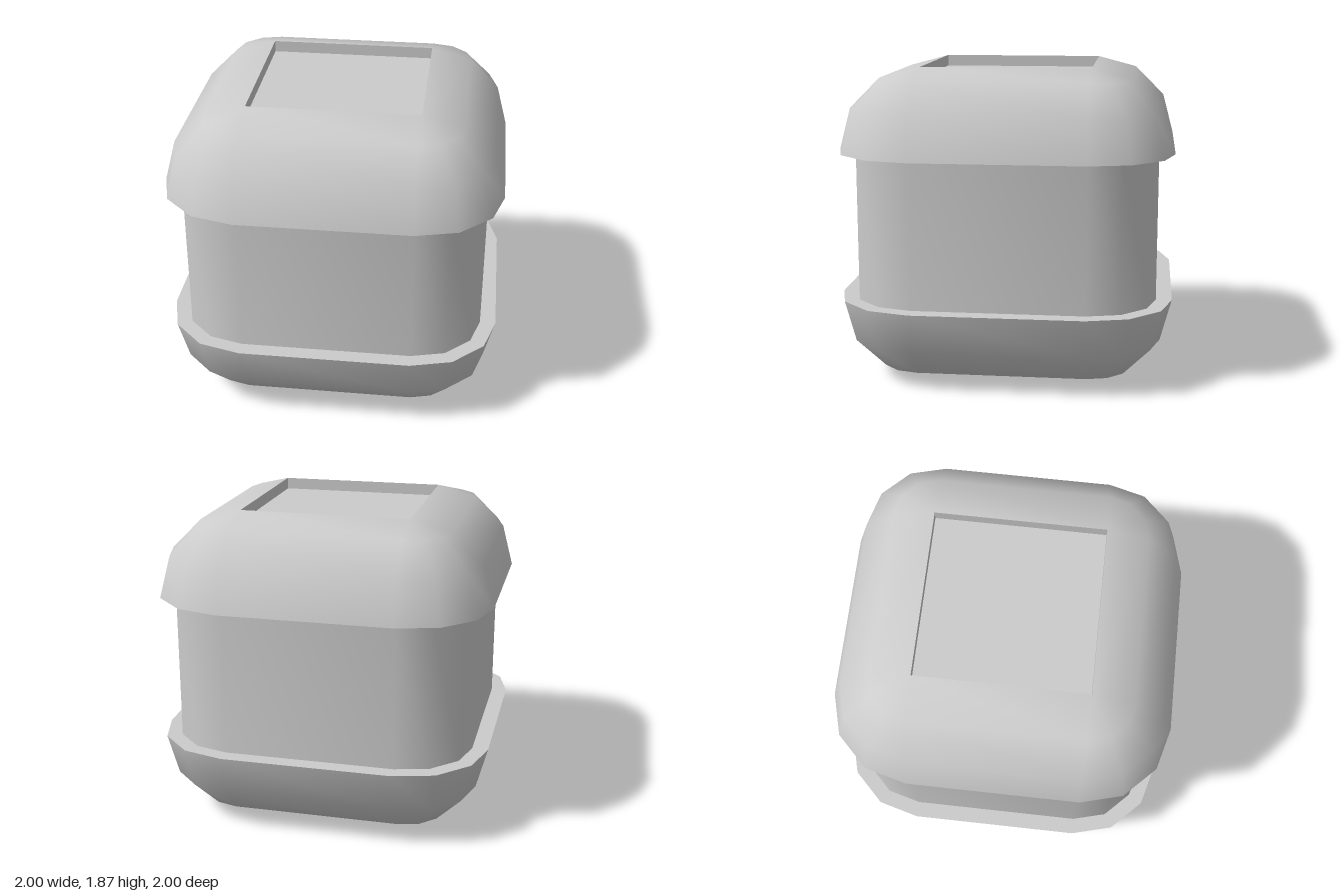
import * as THREE from 'three';
import { toCreasedNormals } from 'three/addons/utils/BufferGeometryUtils.js';

const CORE = 0.505;   // half side of the square that every rounded outline grows from
const RADIUS = 0.495; // rounding of the caps
const STEPS = 3;      // facets per quarter turn
const MID = 0.935;    // half of the total height
const RIM = MID - RADIUS;

// Square of half side `core` grown by `r` with rounded corners, at height y
function outline(core, r, y) {
  const points = [];
  for (let c = 0; c < 4; c++) {
    const mid = (c + 0.5) * Math.PI / 2;
    for (let s = 0; s <= STEPS; s++) {
      const a = (c + s / STEPS) * Math.PI / 2;
      points.push(new THREE.Vector3(
        Math.sign(Math.cos(mid)) * core + Math.cos(a) * r, y,
        Math.sign(Math.sin(mid)) * core + Math.sin(a) * r));
    }
  }
  return points;
}

// Skin a list of outlines, leaving out collapsed triangles
function loft(rings) {
  const positions = [];
  const triangle = (a, b, c) => {
    if (new THREE.Triangle(a, b, c).getArea() < 1e-7) return;
    for (const p of [a, b, c]) positions.push(p.x, p.y, p.z);
  };
  for (let i = 0; i < rings.length - 1; i++) {
    const upper = rings[i], lower = rings[i + 1];
    for (let j = 0; j < upper.length; j++) {
      const k = (j + 1) % upper.length;
      triangle(upper[j], upper[k], lower[j]);
      triangle(upper[k], lower[k], lower[j]);
    }
  }
  const geometry = new THREE.BufferGeometry();
  geometry.setAttribute('position', new THREE.Float32BufferAttribute(positions, 3));
  return toCreasedNormals(geometry, 0.8);
}

export function createModel() {
  const model = new THREE.Group();
  const material = new THREE.MeshStandardMaterial({ color: 0xcccccc });
  const bodyRadius = 0.4;

  // Cap: recessed square panel, rounded shoulder, flat underside of the rim
  const floorY = MID - 0.07;
  const rings = [outline(0, 0, floorY), outline(CORE, 0, floorY)];
  for (let s = 0; s <= STEPS; s++) {
    const a = s / STEPS * Math.PI / 2;
    rings.push(outline(CORE, RADIUS * Math.sin(a), RIM + RADIUS * Math.cos(a)));
  }
  rings.push(outline(CORE, bodyRadius, RIM));
  const capGeometry = loft(rings);

  // The same cap closes the top and, turned over, the bottom
  for (const [name, turn] of [['topCap', 0], ['bottomCap', Math.PI]]) {
    const cap = new THREE.Mesh(capGeometry, material);
    cap.name = name;
    cap.position.y = MID;
    cap.rotation.x = turn;
    model.add(cap);
  }

  // Straight rounded wall between the caps
  const body = new THREE.Mesh(
    loft([outline(CORE, bodyRadius, RIM), outline(CORE, bodyRadius, -RIM)]), material);
  body.name = 'body';
  body.position.y = MID;
  model.add(body);

  return model;
}
